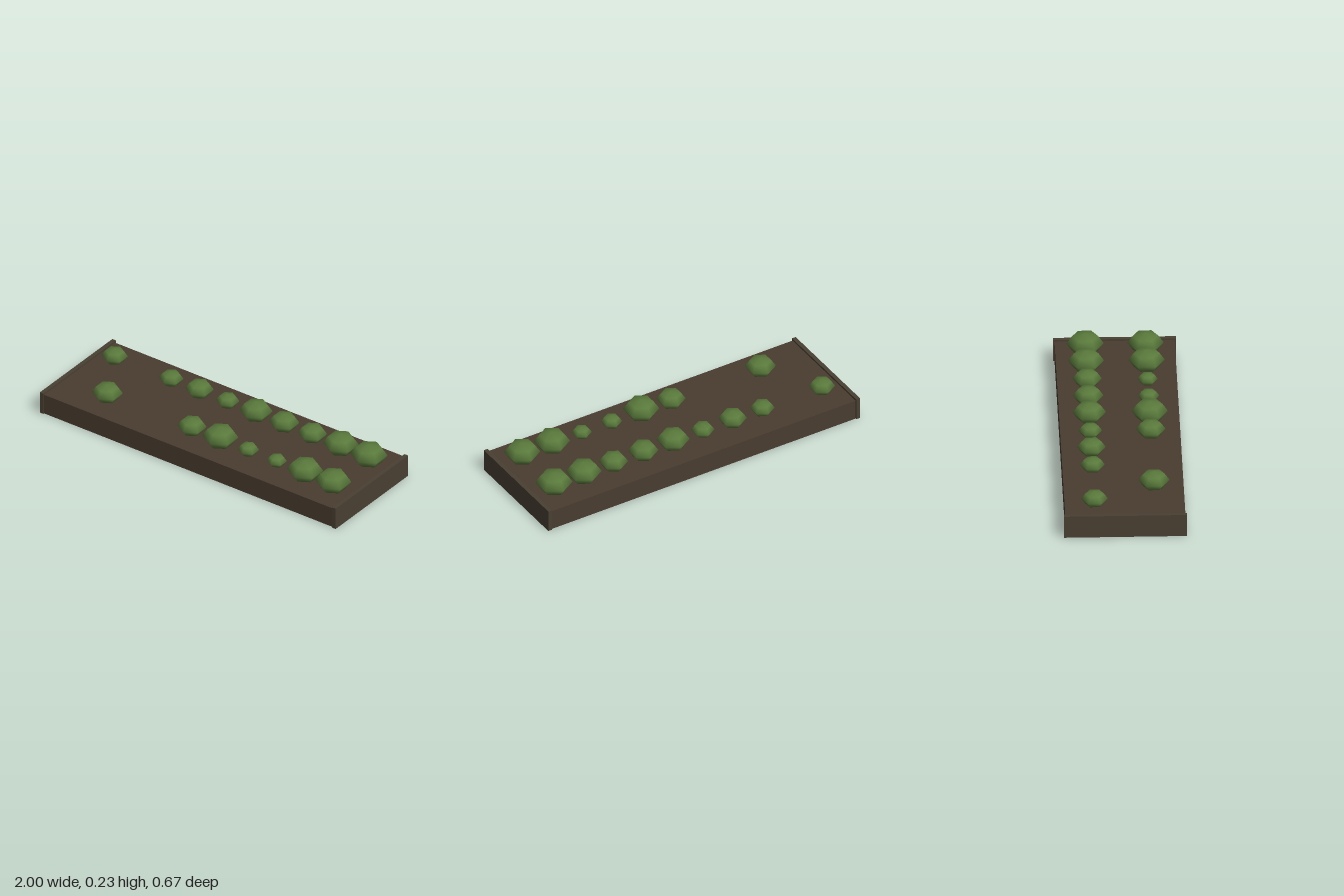
import * as THREE from 'three';

const soilBrown = new THREE.MeshStandardMaterial({ color: 0x4a3c30 });
soilBrown.name = 'soilBrown';
const boardBrown = new THREE.MeshStandardMaterial({ color: 0x4a4033 });
boardBrown.name = 'boardBrown';
const leafGreen = new THREE.MeshStandardMaterial({ color: 0x5a7a3c });
leafGreen.name = 'leafGreen';

const SPACING = 0.191;

// Planting rows: radius of the plant in each of ten slots, 0 where the slot is empty
const ROWS = [
  { name: 'backRow', z: -0.165, radii: [0.072, 0, 0.067, 0.078, 0.064, 0.091, 0.083, 0.08, 0.098, 0.102] },
  { name: 'frontRow', z: 0.165, radii: [0, 0.085, 0, 0, 0.08, 0.099, 0.058, 0.055, 0.099, 0.099] },
];

function addBox(parent, name, material, w, h, d, x) {
  const mesh = new THREE.Mesh(new THREE.BoxGeometry(w, h, d), material);
  mesh.name = name;
  mesh.position.set(x, h / 2, 0);
  parent.add(mesh);
}

export function createModel() {
  const model = new THREE.Group();
  model.name = 'plantBed';

  // Soil block between two slightly taller end boards
  addBox(model, 'soil', soilBrown, 1.952, 0.12, 0.656, 0);
  addBox(model, 'leftEndBoard', boardBrown, 0.024, 0.131, 0.67, 0.988);
  addBox(model, 'rightEndBoard', boardBrown, 0.024, 0.131, 0.67, -0.988);

  // Squashed six-sided plants with corners pointing to front and back
  const plantShape = new THREE.SphereGeometry(1, 6, 4).rotateY(Math.PI / 2);
  for (const row of ROWS) {
    const group = new THREE.Group();
    group.name = row.name;
    row.radii.forEach((r, i) => {
      if (!r) return;
      const plant = new THREE.Mesh(plantShape, leafGreen);
      plant.name = 'plant';
      plant.scale.set(r, r * 0.6, r);
      plant.position.set((i - 4.5) * SPACING, 0.144 + 0.29 * r, row.z);
      group.add(plant);
    });
    model.add(group);
  }
  return model;
}
